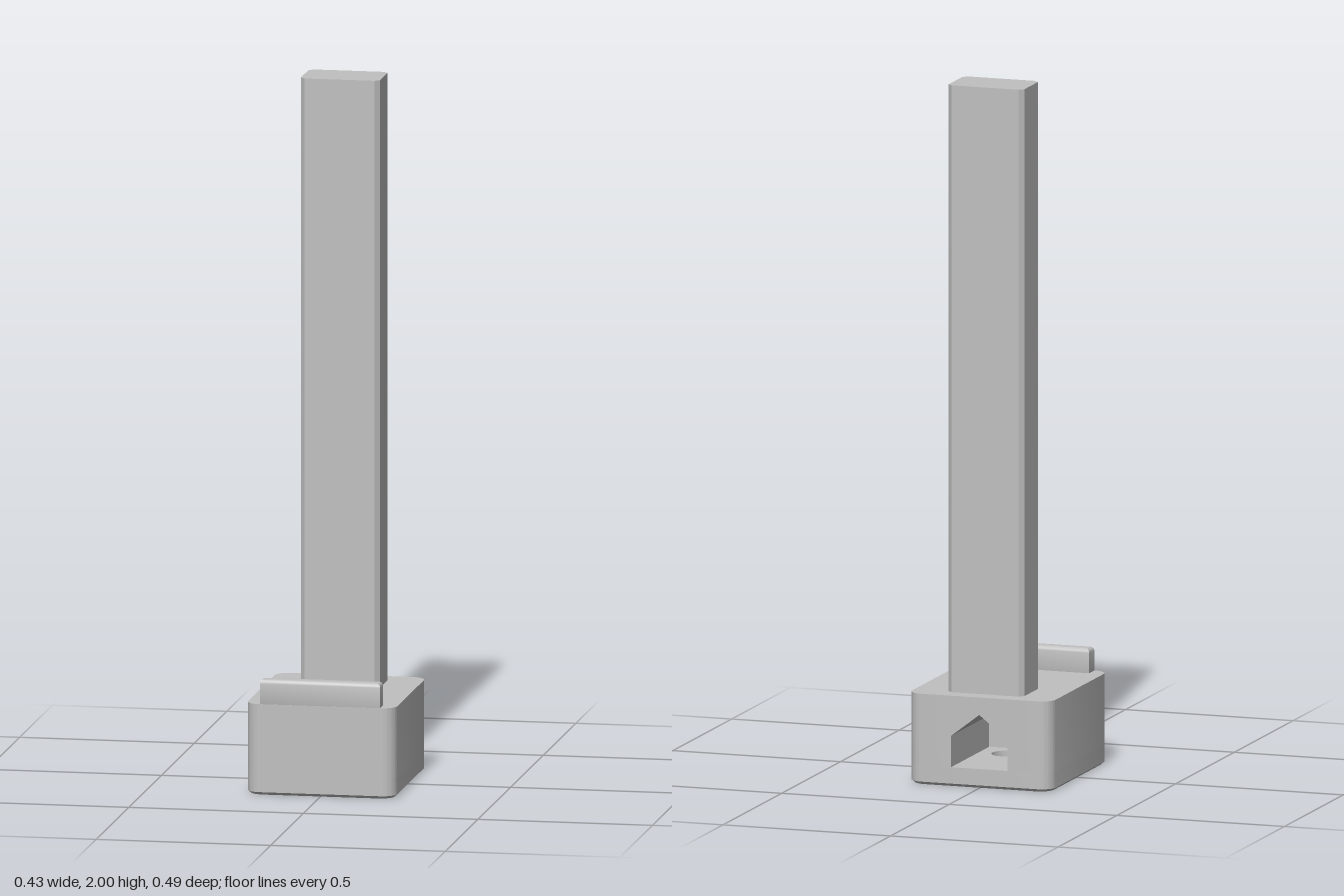
import * as THREE from 'three';
import { toCreasedNormals } from 'three/addons/utils/BufferGeometryUtils.js';

const W = 0.214, D = 0.245, R = 0.042; // base half width, half depth, corner radius
const TOP = 0.26, FLOOR = 0.055, FOOT = 0.008;
const SLOT = 0.084, SLOT_END = 0.08, EAVE = 0.145, RIDGE = 0.21;

// Plan outlines use (x, -z); extrude them upward from y0 to y1
function extrudeUp(shape, y0, y1, bevel) {
  const geo = new THREE.ExtrudeGeometry(shape, { depth: y1 - y0, bevelEnabled: false, curveSegments: 10, ...bevel });
  geo.rotateX(-Math.PI / 2).translate(0, y0, 0);
  return geo;
}

function polygon(points) {
  return new THREE.Shape(points.map(([x, y]) => new THREE.Vector2(x, y)));
}

// Rounded base outline, optionally notched from the back for the nut slot
function baseOutline(notched) {
  const s = new THREE.Shape();
  s.moveTo(-W + R, -D);
  s.lineTo(W - R, -D);
  s.absarc(W - R, -D + R, R, -Math.PI / 2, 0);
  s.lineTo(W, D - R);
  s.absarc(W - R, D - R, R, 0, Math.PI / 2);
  if (notched) {
    s.lineTo(SLOT, D);
    s.lineTo(SLOT, -SLOT_END);
    s.lineTo(-SLOT, -SLOT_END);
    s.lineTo(-SLOT, D);
  }
  s.lineTo(-W + R, D);
  s.absarc(-W + R, D - R, R, Math.PI / 2, Math.PI);
  s.lineTo(-W, -D + R);
  s.absarc(-W + R, -D + R, R, Math.PI, Math.PI * 1.5);
  return s;
}

export function createModel() {
  const group = new THREE.Group();
  const grey = new THREE.MeshStandardMaterial({ color: 0xc0c0c0 });
  grey.name = 'grey';

  const add = (name, geo) => {
    const mesh = new THREE.Mesh(toCreasedNormals(geo, 0.6), grey);
    mesh.name = name;
    group.add(mesh);
  };

  // Floor with the round screw hole
  const floor = baseOutline(false);
  floor.holes.push(new THREE.Path().absarc(0, 0, 0.047, 0, Math.PI * 2, true));
  add('baseFloor', extrudeUp(floor, FOOT, FLOOR));

  // Thin foot, tapered inward at the bottom edge
  const foot = extrudeUp(floor, 0, FOOT);
  const p = foot.attributes.position;
  for (let i = 0; i < p.count; i++) {
    if (p.getY(i) < FOOT / 2 && Math.hypot(p.getX(i), p.getZ(i)) > 0.1) {
      p.setX(i, p.getX(i) * (1 - FOOT / W));
      p.setZ(i, p.getZ(i) * (1 - FOOT / D));
    }
  }
  add('baseFoot', foot);

  // Walls around the slot
  add('baseWalls', extrudeUp(baseOutline(true), FLOOR, TOP));

  // Gabled roof of the slot, running from the back inward
  const roof = new THREE.ExtrudeGeometry(
    polygon([[-SLOT, EAVE], [0, RIDGE], [SLOT, EAVE], [SLOT, TOP], [-SLOT, TOP]]),
    { depth: D + SLOT_END, bevelEnabled: false });
  add('slotRoof', roof.translate(0, 0, -D));

  // Front lip with softened top edges
  const b = 0.012, x = 0.172 - b, z0 = 0.2 + b, z1 = 0.244 - b;
  add('frontLip', extrudeUp(
    polygon([[-x, -z1], [x, -z1], [x, -z0], [-x, -z0]]), 0.24, 0.33 - b,
    { bevelEnabled: true, bevelThickness: b, bevelSize: b, bevelSegments: 4 }));

  // Tall post with chamfered corners
  const px = 0.113, pz = 0.0705, c = 0.013;
  const post = extrudeUp(polygon([
    [-px + c, -pz], [px - c, -pz], [px, -pz + c], [px, pz - c],
    [px - c, pz], [-px + c, pz], [-px, pz - c], [-px, -pz + c]]), TOP - 0.01, 2);
  add('post', post.translate(0, 0, -0.1245));

  return group;
}
